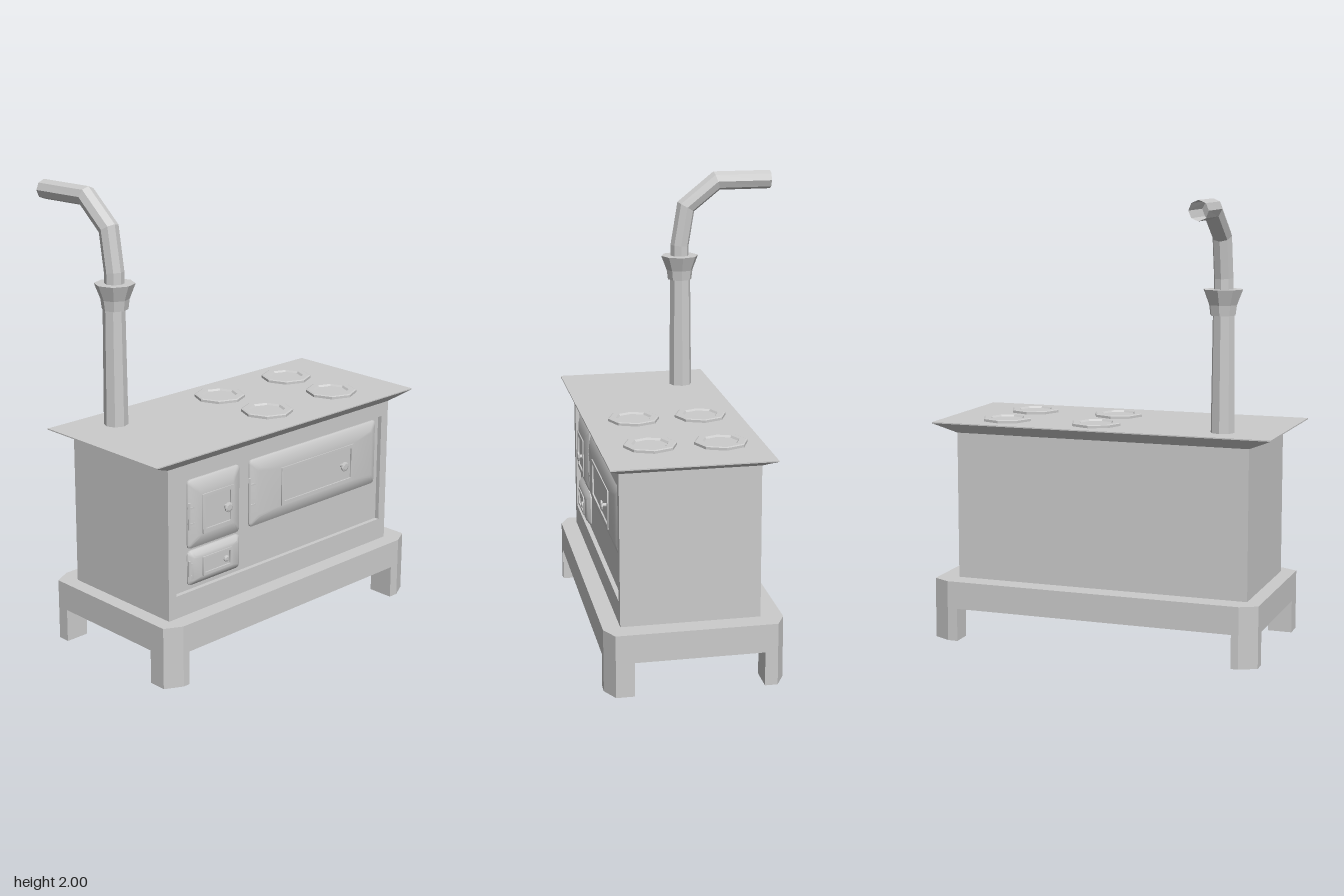
import * as THREE from 'three';
import { toCreasedNormals } from 'three/addons/utils/BufferGeometryUtils.js';

const grey = new THREE.MeshStandardMaterial({ color: 0xcccccc });
const flat = new THREE.MeshStandardMaterial({ color: 0xcccccc, flatShading: true });
const flatDouble = new THREE.MeshStandardMaterial({ color: 0xcccccc, flatShading: true, side: THREE.DoubleSide });

function add(parent, name, geo, mat = flat, x = 0, y = 0, z = 0) {
  const mesh = new THREE.Mesh(geo, mat);
  mesh.name = name;
  mesh.position.set(x, y, z);
  parent.add(mesh);
  return mesh;
}

// Skin over equal-length loops, each counter-clockwise seen from the loft direction
function loft(rings, capStart, capEnd) {
  const n = rings[0].length, idx = [];
  for (let i = 0; i < rings.length - 1; i++)
    for (let j = 0; j < n; j++) {
      const k = (j + 1) % n, a = i * n + j, b = i * n + k;
      idx.push(a, b, b + n, a, b + n, a + n);
    }
  const last = (rings.length - 1) * n;
  for (let j = 1; j < n - 1; j++) {
    if (capStart) idx.push(0, j + 1, j);
    if (capEnd) idx.push(last, last + j, last + j + 1);
  }
  const geo = new THREE.BufferGeometry();
  geo.setAttribute('position', new THREE.Float32BufferAttribute(rings.flat(2), 3));
  geo.setIndex(idx);
  geo.computeVertexNormals();
  return geo;
}

// Upright prism from an [x, z] outline
function prism(pts, y0, y1) {
  const shape = new THREE.Shape(pts.map(([x, z]) => new THREE.Vector2(x, -z)));
  return new THREE.ExtrudeGeometry(shape, { depth: y1 - y0, bevelEnabled: false })
    .rotateX(-Math.PI / 2).translate(0, y0, 0);
}

// Rounded rectangle loop facing +x
function rectLoop([z0, z1, y0, y1], r, x) {
  const pts = [];
  [[z0, y1, 1, -1], [z1, y1, 1, 1], [z1, y0, -1, 1], [z0, y0, -1, -1]].forEach(([z, y, sy, sz], q) => {
    // sweep each corner so the loop runs counter-clockwise with -z to the right
    for (let s = 0; s <= 3; s++) {
      const a = (q + s / 3) * Math.PI / 2;
      pts.push([x, y - sy * r + r * Math.sin(a), (sz < 0 ? z + r : z - r) - r * Math.cos(a)]);
    }
  });
  return pts;
}
const inset = ([z0, z1, y0, y1], d) => [z0 + d, z1 - d, y0 + d, y1 - d];

// Pillow-shaped door with a raised window frame, knob and hinge
function door(name, rect, frame, border, knob, hinge) {
  const g = new THREE.Group();
  g.name = name;
  const h = rect[3] - rect[2], slope = h * 0.13;
  const geo = loft([
    rectLoop(rect, 0.018, 0.404),
    rectLoop(rect, 0.018, 0.411),
    rectLoop(inset(rect, 0.007), 0.016, 0.417),
    rectLoop(inset(rect, slope), 0.012, 0.428),
    rectLoop(frame, 0.002, 0.432),
    rectLoop(frame, 0.002, 0.437),
    rectLoop(inset(frame, border), 0.002, 0.437),
    rectLoop(inset(frame, border), 0.002, 0.430),
  ], false, true);
  add(g, name + 'Panel', toCreasedNormals(geo, 0.6), grey);

  const [kz, ky, kr, kx] = knob;
  const profile = [[0.4, 0.425], [0.4, kx - 0.012], [1, kx - 0.009], [1, kx - 0.003], [0.6, kx], [0, kx]];
  const knobGeo = new THREE.LatheGeometry(profile.map(([r, x]) => new THREE.Vector2(r * kr, x)), 10);
  add(g, name + 'Knob', knobGeo.rotateZ(-Math.PI / 2), flatDouble, 0, ky, kz);

  const [hz, hy0, hy1] = hinge, mid = (hy0 + hy1) / 2;
  add(g, name + 'HingePin', new THREE.CylinderGeometry(0.006, 0.006, hy1 - hy0, 6), flat, 0.42, mid, hz);
  for (const s of [-1, 1])
    add(g, name + 'HingeStrap', new THREE.BoxGeometry(0.012, 0.007, 0.04), flat,
      0.418, mid + s * (hy1 - hy0) * 0.3, hz - 0.018);
  return g;
}

export function createModel() {
  const stove = new THREE.Group();
  stove.name = 'stove';

  // Plinth with chamfered corners
  const X0 = -0.27, X1 = 0.5, Z0 = -0.773, Z1 = 0.745, cx = 0.04, cz = 0.077;
  add(stove, 'plinth', prism([
    [X0 + cx, Z0], [X1 - cx, Z0], [X1, Z0 + cz], [X1, Z1 - cz],
    [X1 - cx, Z1], [X0 + cx, Z1], [X0, Z1 - cz], [X0, Z0 + cz],
  ], 0.15, 0.275));

  // Four legs sharing the chamfer
  for (const [x, sx, ix] of [[X0, 1, -0.175], [X1, -1, 0.38]])
    for (const [z, sz, iz] of [[Z0, 1, -0.65], [Z1, -1, 0.635]])
      add(stove, 'leg', prism([
        [ix, z], [x + sx * cx, z], [x, z + sz * cz], [x, iz], [ix, iz],
      ], 0, 0.15));

  // Body with a recessed front panel
  add(stove, 'body', new THREE.BoxGeometry(0.58, 0.67, 1.36), flat, 0.115, 0.61, 0);
  const face = new THREE.Shape([[-0.68, 0.275], [0.68, 0.275], [0.68, 0.945], [-0.68, 0.945]]
    .map((p) => new THREE.Vector2(...p)));
  face.holes.push(new THREE.Path([[-0.637, 0.375], [-0.637, 0.88], [0.637, 0.88], [0.637, 0.375]]
    .map((p) => new THREE.Vector2(...p))));
  const faceGeo = new THREE.ExtrudeGeometry(face, { depth: 0.02, bevelEnabled: false });
  add(stove, 'faceFrame', faceGeo.rotateY(Math.PI / 2), flat, 0.405, 0, 0);

  // Doors
  stove.add(door('fireDoor', [0.26, 0.56, 0.56, 0.865], [0.315, 0.495, 0.62, 0.795], 0.019,
    [0.36, 0.708, 0.022, 0.457], [0.558, 0.65, 0.768]));
  stove.add(door('ashDoor', [0.26, 0.56, 0.395, 0.55], [0.325, 0.495, 0.43, 0.515], 0.012,
    [0.36, 0.471, 0.014, 0.443], [0.558, 0.425, 0.51]));
  stove.add(door('ovenDoor', [-0.61, 0.2, 0.56, 0.865], [-0.44, 0.025, 0.62, 0.795], 0.017,
    [-0.365, 0.708, 0.022, 0.457], [0.207, 0.632, 0.788]));

  // Flared cooktop
  const level = (x0, x1, z, y) => [[x0, y, z], [x1, y, z], [x1, y, -z], [x0, y, -z]];
  add(stove, 'cooktop', loft([
    level(-0.175, 0.425, 0.68, 0.943), level(-0.22, 0.475, 0.785, 0.987), level(-0.22, 0.475, 0.785, 0.992),
  ], true, true));

  // Burner plates with a shallow dish
  const plate = [[0.115, 0.99], [0.115, 1.003], [0.108, 1.006], [0.08, 1.006], [0.073, 0.998], [0, 0.998]]
    .map(([r, y]) => new THREE.Vector2(r, y));
  for (const [x, z] of [[-0.042, -0.49], [0.258, -0.475], [-0.042, -0.06], [0.258, -0.06]])
    add(stove, 'burner', new THREE.LatheGeometry(plate, 8), flatDouble, x, 0, z);

  // Chimney pipe and collar
  add(stove, 'pipe', new THREE.CylinderGeometry(0.048, 0.053, 0.53, 8), flat, -0.068, 1.25, 0.532);
  const collar = [[0.045, 1.5], [0.056, 1.5], [0.062, 1.545], [0.088, 1.612], [0, 1.612]]
    .map(([r, y]) => new THREE.Vector2(r, y));
  add(stove, 'collar', new THREE.LatheGeometry(collar, 8), flatDouble, -0.065, 0, 0.528);

  // Bent flue with mitred joints and an open end
  const path = [[-0.065, 1.6, 0.53], [-0.065, 1.66, 0.53], [-0.095, 1.84, 0.53], [-0.24, 1.957, 0.527], [-0.5, 1.955, 0.546]];
  const dir = (i) => {
    const a = path[Math.max(0, Math.min(i, 3))], b = path[Math.max(0, Math.min(i, 3)) + 1];
    return new THREE.Vector2(b[0] - a[0], b[1] - a[1]).normalize();
  };
  const rings = path.map(([x, y, z], i) => {
    const d = dir(i), t = d.clone().add(dir(i - 1)).normalize();
    const r = 0.043, w = r / t.dot(d);
    return Array.from({ length: 8 }, (_, j) => {
      const a = j * Math.PI / 4, c = Math.cos(a) * w;
      return [x + t.y * c, y - t.x * c, z - Math.sin(a) * r];
    });
  });
  add(stove, 'flueBend', loft(rings, false, false), flatDouble);

  return stove;
}
